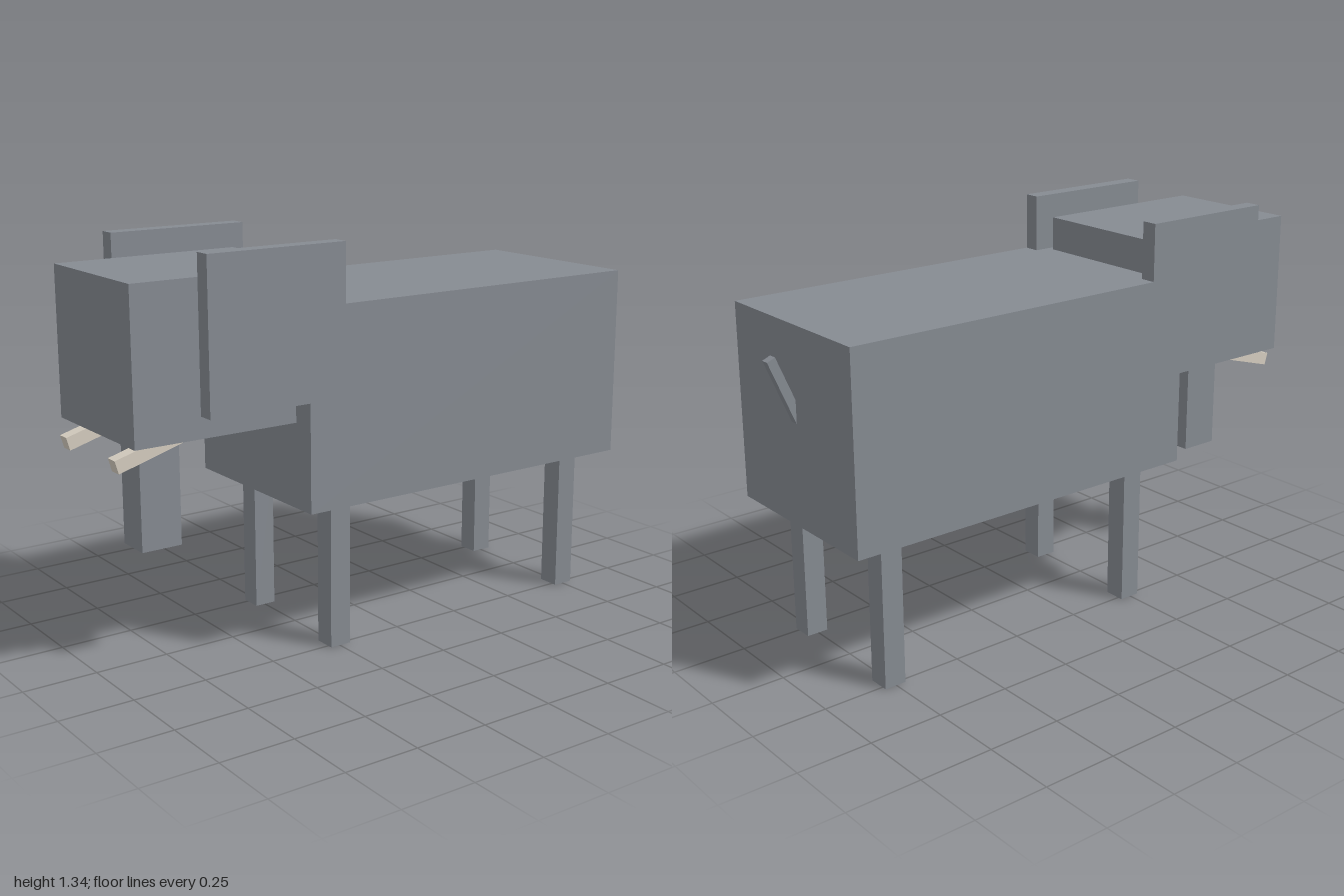
import * as THREE from 'three';

export function createModel() {
  const model = new THREE.Group();
  const hide = new THREE.MeshStandardMaterial({ color: 0x868b92 });
  hide.name = 'grey hide';
  const ivory = new THREE.MeshStandardMaterial({ color: 0xd6cec0 });
  ivory.name = 'ivory';

  // Box given by its size and centre, tilted about x
  function box(name, material, size, centre, tilt = 0) {
    const mesh = new THREE.Mesh(new THREE.BoxGeometry(...size), material);
    mesh.name = name;
    mesh.position.set(...centre);
    mesh.rotation.x = tilt;
    model.add(mesh);
  }

  // Body, head and trunk
  box('body', hide, [0.654, 0.655, 1.31], [0, 0.822, -0.255]);
  box('head', hide, [0.494, 0.49, 0.645], [0, 1.02, 0.6425]);
  box('trunk', hide, [0.12, 0.41, 0.14], [0, 0.59, 0.785]);

  // Tail, slanting up and back
  box('tail', hide, [0.028, 0.33, 0.03], [0, 0.9, -0.921], -0.4);

  // Mirrored pairs
  for (const [side, s] of [['left', 1], ['right', -1]]) {
    box(side + 'Ear', hide, [0.055, 0.49, 0.49], [s * 0.2995, 1.097, 0.51]);
    box(side + 'Tusk', ivory, [0.044, 0.044, 0.4], [s * 0.164, 0.769, 0.802], 0.28);
    box(side + 'FrontLeg', hide, [0.075, 0.5, 0.075], [s * 0.23, 0.25, 0.247]);
    box(side + 'BackLeg', hide, [0.075, 0.5, 0.075], [s * 0.23, 0.25, -0.753]);
  }

  return model;
}
